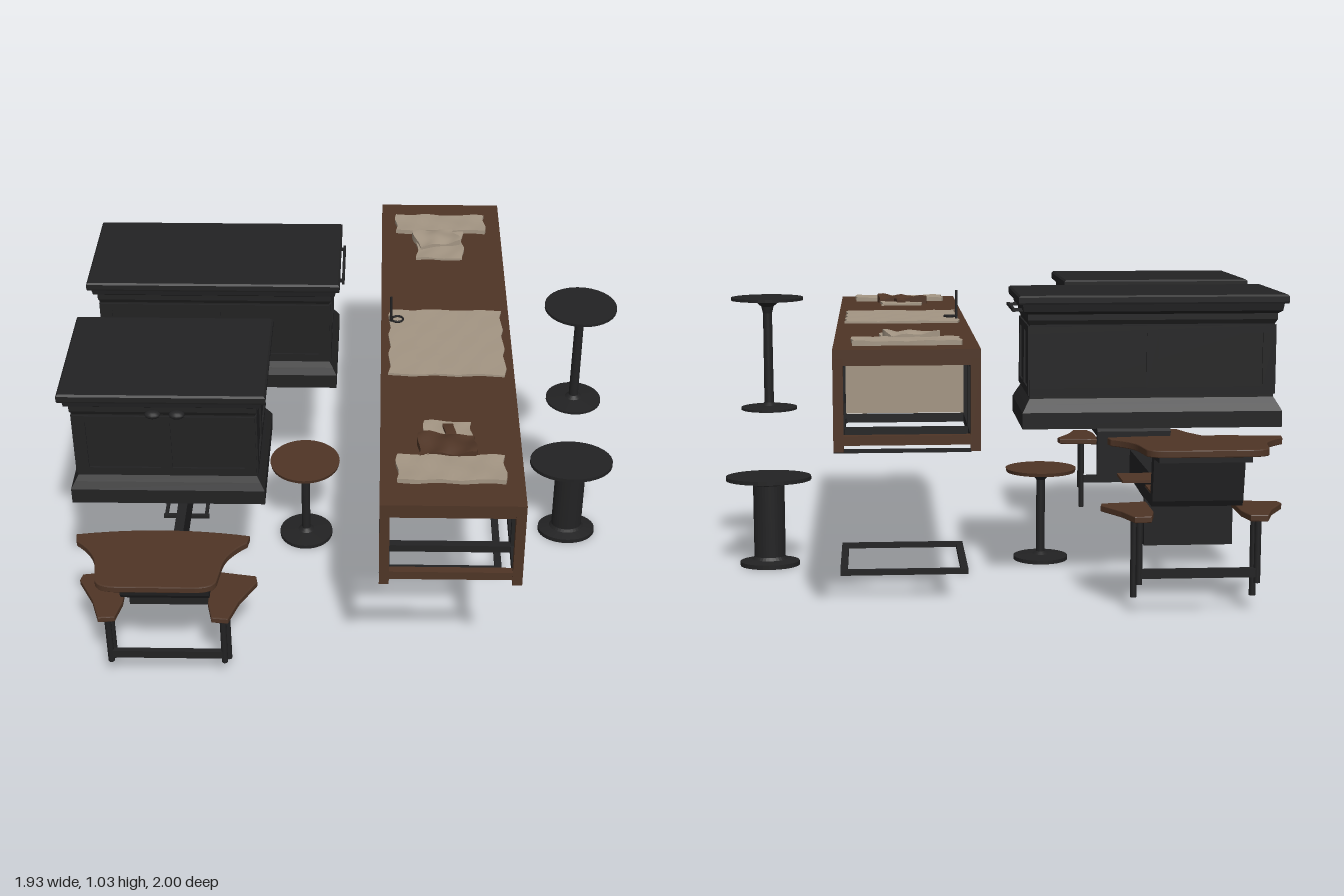
import * as THREE from 'three';

const mat = (name, color, extra = {}) => {
  const m = new THREE.MeshStandardMaterial({ color, ...extra });
  m.name = name;
  return m;
};

export function createModel() {
  const root = new THREE.Group();
  root.name = 'furnitureSet';
  const dark = mat('charcoal', 0x222223);
  const brown = mat('walnut', 0x4f3526);
  const beige = mat('linen', 0xa39583);

  const group = (name, parent = root) => {
    const g = new THREE.Group();
    g.name = name;
    parent.add(g);
    return g;
  };
  const add = (parent, name, geo, m, x = 0, y = 0, z = 0) => {
    const mesh = new THREE.Mesh(geo, m);
    mesh.name = name;
    mesh.position.set(x, y, z);
    parent.add(mesh);
    return mesh;
  };
  // Box given by its limits on each axis
  const box = (parent, name, m, x0, x1, y0, y1, z0, z1) =>
    add(parent, name, new THREE.BoxGeometry(x1 - x0, y1 - y0, z1 - z0), m,
      (x0 + x1) / 2, (y0 + y1) / 2, (z0 + z1) / 2);

  // Stack of rectangles, each [height, inset], closed at both ends
  const moulded = (w, d, profile) => {
    const pos = [];
    const ring = ([y, i]) => {
      const a = w / 2 - i, b = d / 2 - i;
      return [[-a, y, b], [a, y, b], [a, y, -b], [-a, y, -b]];
    };
    const quad = (a, b, c, e) => pos.push(...a, ...b, ...c, ...a, ...c, ...e);
    const rings = profile.map(ring);
    for (let k = 0; k < rings.length - 1; k++)
      for (let s = 0; s < 4; s++) {
        const t = (s + 1) % 4;
        quad(rings[k][s], rings[k][t], rings[k + 1][t], rings[k + 1][s]);
      }
    const top = rings[rings.length - 1], bot = rings[0];
    quad(top[0], top[1], top[2], top[3]);
    quad(bot[3], bot[2], bot[1], bot[0]);
    const g = new THREE.BufferGeometry();
    g.setAttribute('position', new THREE.Float32BufferAttribute(pos, 3));
    g.computeVertexNormals();
    return g;
  };

  // Cabinets with plinth, panelled body and cornice
  const cabinetProfile = [[0.58, 0.014], [0.635, 0.014], [0.66, 0.028], [0.68, 0.04], [0.93, 0.04],
    [0.945, 0.032], [0.965, 0.032], [0.975, 0.018], [1.0, 0.014], [1.0, 0.002], [1.006, 0], [1.024, 0], [1.03, 0.006]];
  const cabinet = (name, x0, x1, z0, z1) => {
    const g = group(name);
    const w = x1 - x0, d = z1 - z0;
    g.position.set((x0 + x1) / 2, 0, (z0 + z1) / 2);
    add(g, 'cabinetBody', moulded(w, d, cabinetProfile), dark);
    for (let s = 0; s < 4; s++) {
      const face = group('panelFrame', g);
      face.rotation.y = s * Math.PI / 2;
      const half = (s % 2 ? d : w) / 2 - 0.04, out = (s % 2 ? w : d) / 2 - 0.04;
      for (const y of [0.69, 0.9]) box(face, 'rail', dark, -half, half, y, y + 0.025, out, out + 0.006);
      for (const x of [-half + 0.02, 0, half - 0.02])
        box(face, 'stile', dark, x - 0.02, x + 0.02, 0.715, 0.9, out, out + 0.006);
    }
    return g;
  };
  cabinet('backCabinet', -0.97, -0.06, -0.59, -0.13);
  cabinet('frontCabinet', -0.97, -0.285, 0.09, 0.58);

  // Drawer pulls and side rail
  for (const x of [-0.66, -0.58]) {
    const pull = add(root, 'drawerPull', new THREE.SphereGeometry(1, 12, 8), dark, x, 0.945, 0.56);
    pull.scale.set(0.027, 0.014, 0.02);
  }
  box(root, 'towelRail', dark, -0.055, -0.045, 0.97, 0.98, -0.51, -0.24);
  for (const z of [-0.49, -0.26]) box(root, 'railBracket', dark, -0.1, -0.048, 0.97, 0.98, z - 0.006, z + 0.006);

  // Long counter
  const counter = group('counter');
  box(counter, 'counterTop', brown, 0.09, 0.55, 0.872, 0.9, -0.985, 0.975);
  box(counter, 'centreBox', beige, 0.12, 0.52, 0.635, 0.872, -0.54, 0.54);
  for (const x of [0.118, 0.522]) {
    for (const y of [0.665, 0.815]) box(counter, 'boxTrim', beige, x - 0.004, x + 0.004, y, y + 0.025, -0.5, 0.5);
    for (const z of [-0.49, -0.17, 0.17, 0.49])
      box(counter, 'boxTrim', beige, x - 0.004, x + 0.004, 0.69, 0.815, z - 0.012, z + 0.012);
  }
  for (const z of [-0.97, 0.96]) {
    for (const x of [0.106, 0.534]) box(counter, 'endLeg', brown, x - 0.016, x + 0.016, 0.58, 0.872, z - 0.015, z + 0.015);
    box(counter, 'endRail', brown, 0.122, 0.518, 0.6, 0.63, z - 0.013, z + 0.013);
    box(counter, 'endTopRail', brown, 0.122, 0.518, 0.85, 0.872, z - 0.013, z + 0.013);
  }
  box(counter, 'baseStrip', dark, 0.12, 0.55, 0.575, 0.585, -0.975, -0.955);
  for (const x of [0.11, 0.53]) {
    box(counter, 'lowerRail', dark, x - 0.014, x + 0.014, 0.605, 0.635, -0.955, 0.945);
    box(counter, 'upperRail', dark, x - 0.013, x + 0.013, 0.84, 0.872, -0.955, 0.945);
    for (const z of [-0.83, -0.55, 0.55, 0.83])
      box(counter, 'framePost', dark, x - 0.013, x + 0.013, 0.635, 0.84, z - 0.013, z + 0.013);
  }
  for (const z of [-0.83, -0.55, 0.55, 0.83]) box(counter, 'crossRail', dark, 0.124, 0.516, 0.607, 0.633, z - 0.013, z + 0.013);

  // Cloths: slabs whose upper vertices are rumpled by a wave
  const cloth = (name, m, x0, x1, z0, z1, h, bump, turn = 0) => {
    const g = new THREE.BoxGeometry(x1 - x0, h, z1 - z0, 10, 1, 10);
    const p = g.attributes.position;
    for (let i = 0; i < p.count; i++) {
      const x = p.getX(i), z = p.getZ(i);
      if (p.getY(i) > 0) p.setY(i, h / 2 + bump * (0.5 + 0.5 * Math.sin(x * 43 + 1.3) * Math.cos(z * 37 + x * 20)));
      p.setX(i, x + 0.005 * Math.sin(z * 50));
      p.setZ(i, z + 0.004 * Math.sin(x * 40));
    }
    g.computeVertexNormals();
    const c = add(counter, name, g, m, (x0 + x1) / 2, 0.9 + h / 2, (z0 + z1) / 2);
    c.rotation.y = turn;
    return c;
  };
  cloth('centreCloth', beige, 0.12, 0.52, -0.17, 0.25, 0.006, 0.004);
  cloth('backTowel', beige, 0.145, 0.49, -0.875, -0.75, 0.012, 0.006);
  cloth('backHangingCloth', beige, 0.225, 0.4, -0.75, -0.545, 0.006, 0.006);
  cloth('backCrumple', beige, 0.22, 0.38, -0.74, -0.63, 0.015, 0.016, 0.25);
  cloth('frontTowel', beige, 0.145, 0.49, 0.725, 0.86, 0.012, 0.006);
  cloth('frontSmallCloth', beige, 0.235, 0.39, 0.53, 0.66, 0.006, 0.006);
  cloth('frontCrumple', brown, 0.215, 0.4, 0.62, 0.73, 0.014, 0.02);
  cloth('crumplePeak', brown, 0.3, 0.335, 0.56, 0.63, 0.012, 0.012);

  // Faucet
  add(counter, 'faucetStem', new THREE.CylinderGeometry(0.004, 0.005, 0.11, 8), dark, 0.125, 0.955, -0.09);
  const ring = add(counter, 'faucetRing', new THREE.TorusGeometry(0.02, 0.004, 6, 16), dark, 0.148, 0.918, -0.09);
  ring.rotation.x = Math.PI / 2;

  // Pedestal tables turned from a profile; oval when sz differs from 1
  const pedestal = (name, profile, x, z, sz = 1) => {
    const pts = profile.map(([r, y]) => new THREE.Vector2(r, y));
    const m = add(root, name, new THREE.LatheGeometry(pts, 32), dark, x, 0, z);
    m.geometry = m.geometry.toNonIndexed();
    m.geometry.computeVertexNormals();
    m.scale.z = sz;
  };
  pedestal('tallTable', [[0, 0.585], [0.1, 0.585], [0.1, 0.593], [0.03, 0.6], [0.017, 0.61], [0.016, 0.93],
    [0.022, 0.955], [0.045, 0.975], [0.128, 0.978], [0.128, 0.988], [0, 0.988]], 0.8, -0.078);
  pedestal('ovalStool', [[0, 0], [0.108, 0], [0.108, 0.016], [0.065, 0.024], [0.057, 0.035], [0.057, 0.3],
    [0.068, 0.315], [0.155, 0.318], [0.155, 0.332], [0, 0.332]], 0.81, -0.04, 0.78);
  pedestal('smallTableBase', [[0, 0], [0.1, 0], [0.1, 0.014], [0.03, 0.02], [0.016, 0.03], [0.016, 0.3],
    [0.04, 0.328], [0.1, 0.332], [0, 0.332]], -0.19, -0.005);
  add(root, 'smallTableTop', new THREE.CylinderGeometry(0.13, 0.127, 0.013, 40), brown, -0.19, 0.3385, -0.005);

  // Square frame on the floor
  for (const s of [-1, 1]) {
    box(root, 'floorFrameSide', dark, 0.32 + s * 0.217 - 0.013, 0.32 + s * 0.217 + 0.013, 0, 0.018, -0.23, 0.23);
    box(root, 'floorFrameEnd', dark, 0.103, 0.537, 0, 0.018, s * 0.217 - 0.013, s * 0.217 + 0.013);
  }

  // Bench: central beam carrying a seat and desk unit at each end
  const bench = group('bench');
  bench.position.x = -0.63;
  const shapeOf = pts => new THREE.Shape(pts.map(([a, b]) => new THREE.Vector2(a, b)));
  const sideExtrude = (pts, width) =>
    new THREE.ExtrudeGeometry(shapeOf(pts), { depth: width, bevelEnabled: false })
      .rotateY(-Math.PI / 2).translate(width / 2, 0, 0);
  const plate = (shape, thick) =>
    new THREE.ExtrudeGeometry(shape, { depth: thick - 0.006, bevelSize: 0.004, bevelThickness: 0.003, bevelSegments: 2, curveSegments: 12 })
      .rotateX(Math.PI / 2);
  add(bench, 'beam', sideExtrude([[-0.63, 0.3], [-0.63, 0.19], [-0.2, 0.175], [0.2, 0.175], [0.63, 0.19], [0.63, 0.3]], 0.034), dark);
  box(bench, 'centrePanel', brown, -0.165, 0.145, 0.296, 0.306, -0.08, 0.07);
  for (const s of [-1, 1]) {
    box(bench, 'footBar', dark, -0.09, 0.08, 0.145, 0.158, s * 0.092 - 0.007, s * 0.092 + 0.007);
    box(bench, 'footBarSide', dark, s * 0.075 - 0.012, s * 0.075, 0.145, 0.158, -0.092, 0.092);
  }
  box(bench, 'footBarHanger', dark, -0.01, 0.01, 0.15, 0.18, -0.095, 0.095);

  const supportProfile = [[0.615, 0.19], [0.64, 0.19], [0.64, 0.355], [0.795, 0.355], [0.808, 0.375], [0.835, 0.52],
    [0.94, 0.525], [0.94, 0.552], [0.8, 0.552], [0.79, 0.54], [0.765, 0.392], [0.635, 0.392], [0.615, 0.375]];

  const deskShape = new THREE.Shape();
  deskShape.moveTo(-0.285, 0.735);
  deskShape.quadraticCurveTo(0, 0.685, 0.285, 0.735);
  deskShape.lineTo(0.28, 0.765);
  deskShape.quadraticCurveTo(0.215, 0.82, 0.205, 0.88);
  deskShape.lineTo(0.193, 0.965);
  deskShape.quadraticCurveTo(0.185, 0.994, 0.13, 0.996);
  deskShape.lineTo(-0.13, 0.996);
  deskShape.quadraticCurveTo(-0.185, 0.994, -0.193, 0.965);
  deskShape.lineTo(-0.205, 0.88);
  deskShape.quadraticCurveTo(-0.215, 0.82, -0.28, 0.765);

  for (const s of [1, -1]) {
    const unit = group(s > 0 ? 'frontSeatUnit' : 'backSeatUnit', bench);
    unit.rotation.y = s > 0 ? 0 : Math.PI;
    add(unit, 'bentSupport', sideExtrude(supportProfile, 0.3), dark);
    box(unit, 'ledgePad', brown, -0.148, 0.148, 0.392, 0.399, s > 0 ? 0.618 : 0.64, 0.762);
    if (s > 0) box(unit, 'ledgeMark', beige, 0.02, 0.045, 0.399, 0.402, 0.665, 0.69);
    else {
      const c = add(unit, 'ledgeCloth', new THREE.CylinderGeometry(1, 1, 0.01, 24), beige, 0, 0.403, 0.7);
      c.scale.set(0.12, 1, 0.045);
    }
    add(unit, 'deskTop', plate(deskShape, 0.024), brown, 0, 0.573, 0);
    for (const t of [-1, 1]) {
      // Winged side seats on two legs each
      const wing = shapeOf([[t * 0.148, 0.64], [t * 0.295, 0.664], [t * 0.3, 0.69], [t * 0.245, 0.79], [t * 0.215, 0.88], [t * 0.165, 0.875], [t * 0.148, 0.8]]);
      add(unit, 'sideSeat', plate(wing, 0.022), brown, 0, 0.338, 0);
      add(unit, 'innerLeg', new THREE.CylinderGeometry(0.011, 0.011, 0.28, 10), dark, t * 0.2, 0.18, 0.745);
      add(unit, 'outerLeg', new THREE.CylinderGeometry(0.011, 0.011, 0.215, 10), dark, t * 0.195, 0.2125, 0.835);
      add(unit, 'legFlange', new THREE.CylinderGeometry(0.022, 0.014, 0.012, 12), dark, t * 0.2, 0.312, 0.745);
    }
    box(unit, 'legStretcher', dark, -0.195, 0.195, 0.125, 0.155, 0.826, 0.844);
  }
  return root;
}
